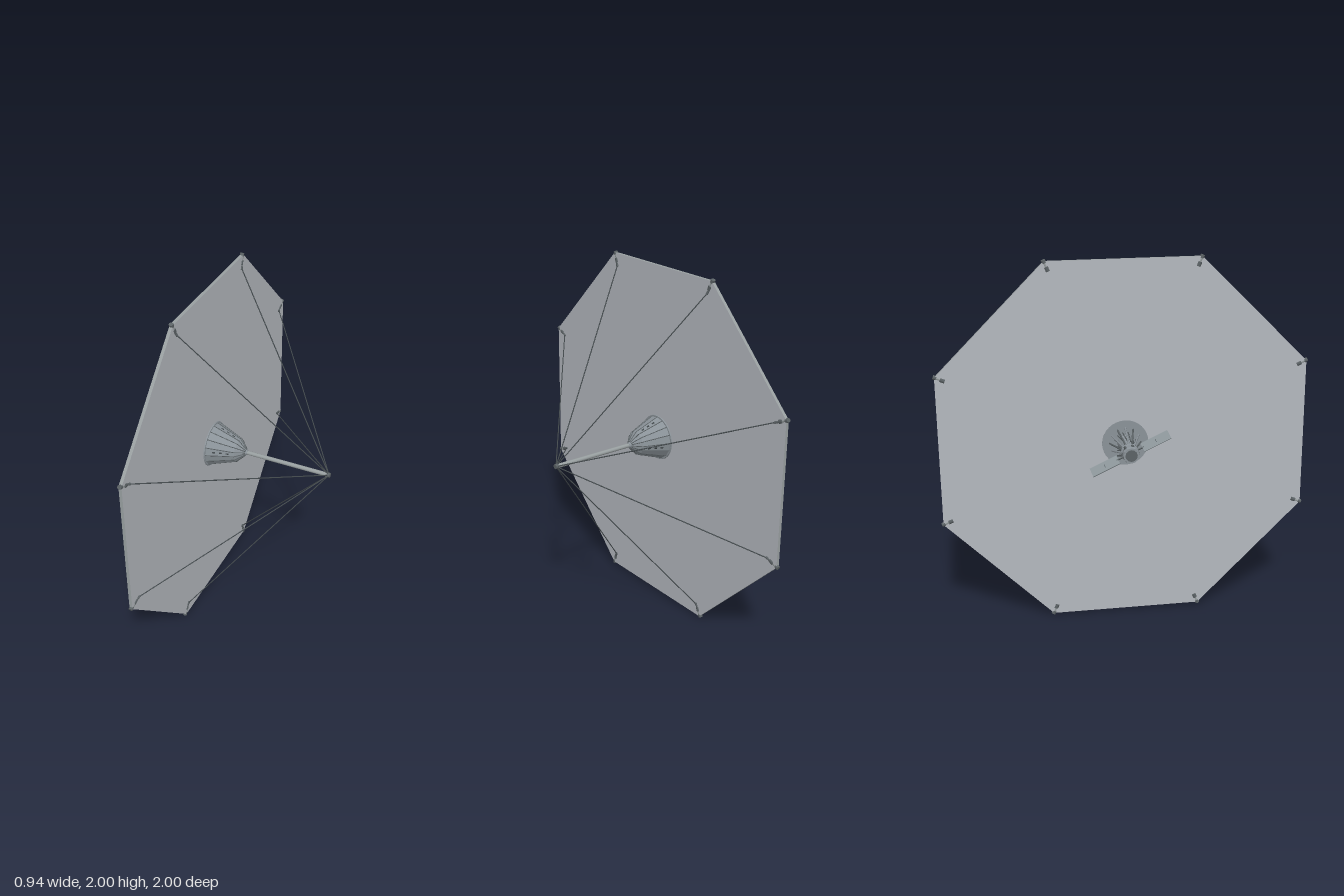
import * as THREE from 'three';

const mat = (name, color) => Object.assign(new THREE.MeshStandardMaterial({ color }), { name });
const UP = new THREE.Vector3(0, 1, 0);

// Point at distance x along the main axis, radius r, angle t (from +z towards +y)
const P = (x, r, t) => new THREE.Vector3(x, r * Math.sin(t), r * Math.cos(t));

export function createModel() {
  const model = new THREE.Group();
  model.name = 'sailCraft';
  // The main axis runs along x at mid height
  const craft = new THREE.Group();
  craft.name = 'craft';
  craft.position.set(0.005, 1, 0);
  model.add(craft);

  const sailMat = mat('sail grey', 0xb4b8be);
  const beamMat = mat('beam grey', 0x989fa0);
  const shellMat = mat('shell blue grey', 0x8a9298);
  const darkMat = mat('dark metal', 0x5c6366);
  const cableMat = mat('cable charcoal', 0x454c4f);
  const panelMat = mat('panel grey', 0x8a9498);

  const add = (name, geo, material, parent = craft) => {
    const mesh = new THREE.Mesh(geo, material);
    mesh.name = name;
    parent.add(mesh);
    return mesh;
  };
  // Bar between two points
  const bar = (name, a, b, r, material, sides = 6, r2 = r) => {
    const d = b.clone().sub(a);
    const mesh = add(name, new THREE.CylinderGeometry(r2, r, d.length(), sides), material);
    mesh.position.copy(a).addScaledVector(d, 0.5);
    mesh.quaternion.setFromUnitVectors(UP, d.normalize());
  };
  // Faceted body of revolution about the main axis, from [x, radius] pairs
  const turned = (name, profile, material, sides = 16) => {
    const geo = new THREE.LatheGeometry(profile.map(([x, r]) => new THREE.Vector2(r, x)), sides).toNonIndexed();
    geo.computeVertexNormals();
    geo.rotateZ(-Math.PI / 2);
    add(name, geo, material);
  };

  const sailX = -0.25, start = 0.4014;

  // Octagonal sail with a slim rim
  const sailGeo = new THREE.CylinderGeometry(1.066, 1.066, 0.017, 8).toNonIndexed();
  sailGeo.computeVertexNormals();
  sailGeo.rotateY(-start);
  sailGeo.rotateZ(-Math.PI / 2);
  add('sail', sailGeo, [beamMat, sailMat, sailMat]).position.x = sailX;

  // Stay cables with corner fittings
  const tip = P(0.455, 0, 0);
  for (let i = 0; i < 8; i++) {
    const t = start + i * Math.PI / 4;
    bar('stayCable', P(sailX + 0.012, 0.99, t), tip, 0.003, cableMat, 6);
    bar('cornerHook', P(sailX + 0.012, 0.985, t), P(sailX + 0.004, 1.015, t), 0.007, darkMat);
    bar('cornerClamp', P(sailX, 1.01, t), P(sailX, 1.035, t), 0.014, darkMat, 8);
    bar('cornerLink', P(sailX, 1.03, t), P(sailX, 1.06, t), 0.01, beamMat);
    bar('cornerCap', P(sailX, 1.055, t), P(sailX, 1.073, t), 0.012, darkMat, 8);
  }

  // Mast
  bar('mast', P(-0.06, 0, 0), P(0.45, 0, 0), 0.012, beamMat, 10);
  bar('mastTip', P(0.445, 0, 0), P(0.461, 0, 0), 0.014, darkMat, 10);
  bar('mastCollar', P(-0.05, 0, 0), P(-0.03, 0, 0), 0.02, shellMat, 10, 0.014);

  // Ribbed cone on the mast side
  turned('coneShell', [[-0.241, 0.123], [-0.085, 0.066], [-0.04, 0.018]], shellMat, 16);
  turned('coneBaseRing', [[-0.241, 0.115], [-0.241, 0.13], [-0.235, 0.128], [-0.235, 0.115]], shellMat, 32);
  for (let i = 0; i < 16; i++) {
    const t = i * Math.PI / 8;
    bar('coneRib', P(-0.24, 0.123, t), P(-0.085, 0.066, t), 0.0025, darkMat, 5);
    bar('coneRibEnd', P(-0.085, 0.066, t), P(-0.04, 0.018, t), 0.0025, darkMat, 5);
    if (i % 4 === 0) {
      for (const x of [-0.2, -0.165, -0.13]) {
        const r = 0.103 - (x + 0.2) * 0.36;
        bar('conePod', P(x, r, t + 0.196), P(x + 0.015, r - 0.005, t + 0.196), 0.007, cableMat, 4);
      }
    }
  }

  // Backing plate and fan of struts behind the sail
  turned('backPlate', [[-0.262, 0], [-0.262, 0.125], [-0.25, 0.125]], shellMat, 32);
  bar('coreTube', P(-0.4, 0, 0), P(-0.255, 0, 0), 0.026, shellMat, 12, 0.045);
  for (let i = 0; i < 12; i++) {
    const t = i * Math.PI / 6;
    bar('fanStrut', P(-0.385, 0.03, t), P(-0.258, 0.085, t), 0.005, i % 2 ? shellMat : darkMat, 5);
    bar('fanBrace', P(-0.34, 0.035, t), P(-0.258, 0.06, t + 0.26), 0.003, darkMat, 4);
  }

  // Service module at the back end
  turned('serviceModule', [[-0.472, 0], [-0.472, 0.042], [-0.455, 0.046], [-0.45, 0.038],
    [-0.41, 0.038], [-0.405, 0.046], [-0.385, 0.036], [-0.385, 0]], shellMat, 12);
  turned('endPlate', [[-0.475, 0], [-0.475, 0.032], [-0.47, 0.032]], darkMat, 12);
  for (let i = 0; i < 6; i++) {
    const t = i * Math.PI / 3 + 0.2;
    bar('equipmentBox', P(-0.447, 0.037, t), P(-0.413, 0.037, t), 0.009, darkMat, 4);
  }

  // Pair of solar panels sharing one tilted plane
  const wings = new THREE.Group();
  wings.name = 'solarWings';
  wings.position.x = -0.435;
  wings.rotation.x = -0.44;
  const pitch = new THREE.Group();
  pitch.name = 'panelPitch';
  pitch.rotation.z = 0.65;
  wings.add(pitch);
  craft.add(wings);
  for (const side of [-1, 1]) {
    add('panelArm', new THREE.BoxGeometry(0.006, 0.006, 0.05), darkMat, pitch).position.z = side * 0.055;
    add('solarPanel', new THREE.BoxGeometry(0.055, 0.005, 0.155), panelMat, pitch).position.z = side * 0.148;
    add('panelSeam', new THREE.BoxGeometry(0.02, 0.0065, 0.002), cableMat, pitch).position.z = side * 0.148;
  }
  return model;
}
